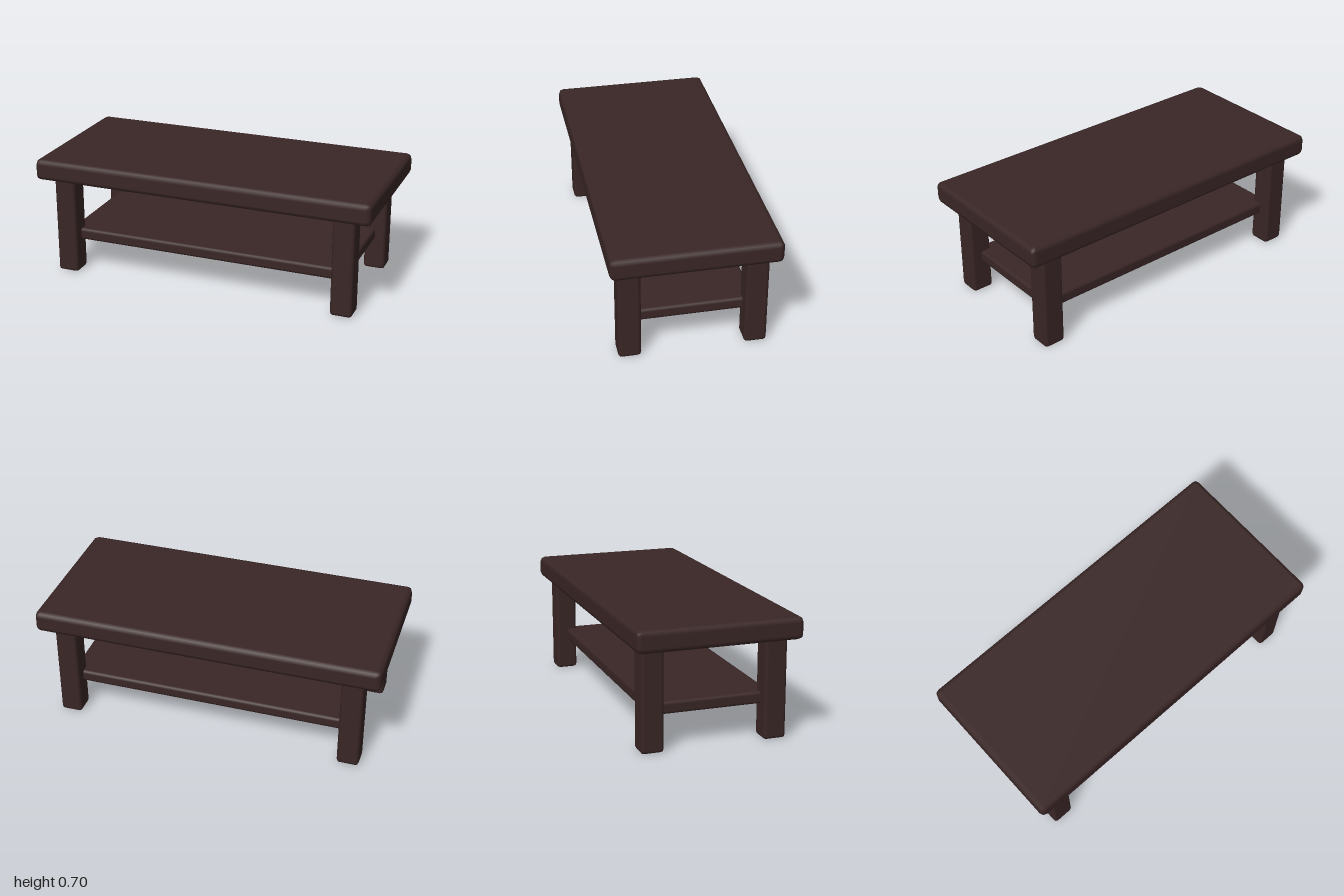
import * as THREE from 'three';
import { RoundedBoxGeometry } from 'three/addons/geometries/RoundedBoxGeometry.js';

export function createModel() {
  const group = new THREE.Group();
  group.name = 'coffeeTable';
  const darkWood = new THREE.MeshStandardMaterial({ name: 'darkWood', color: 0x3a2626 });

  // Box with softly bevelled edges, placed by its bottom height
  function board(name, w, h, d, bevel, x, bottom, z) {
    const mesh = new THREE.Mesh(new RoundedBoxGeometry(w, h, d, 1, bevel), darkWood);
    mesh.name = name;
    mesh.position.set(x, bottom + h / 2, z);
    group.add(mesh);
  }

  // Thick table top
  board('tableTop', 2, 0.125, 0.927, 0.03, 0, 0.571, 0);

  // Lower shelf, its corners let into the middle of each leg
  board('shelf', 1.68, 0.07, 0.696, 0.017, 0, 0.187, 0);

  // Four square legs
  for (const [side, x] of [['Left', 0.84], ['Right', -0.84]]) {
    for (const [end, z] of [['front', 0.349], ['back', -0.349]]) {
      board(`${end}${side}Leg`, 0.127, 0.59, 0.127, 0.018, x, 0, z);
    }
  }
  return group;
}
